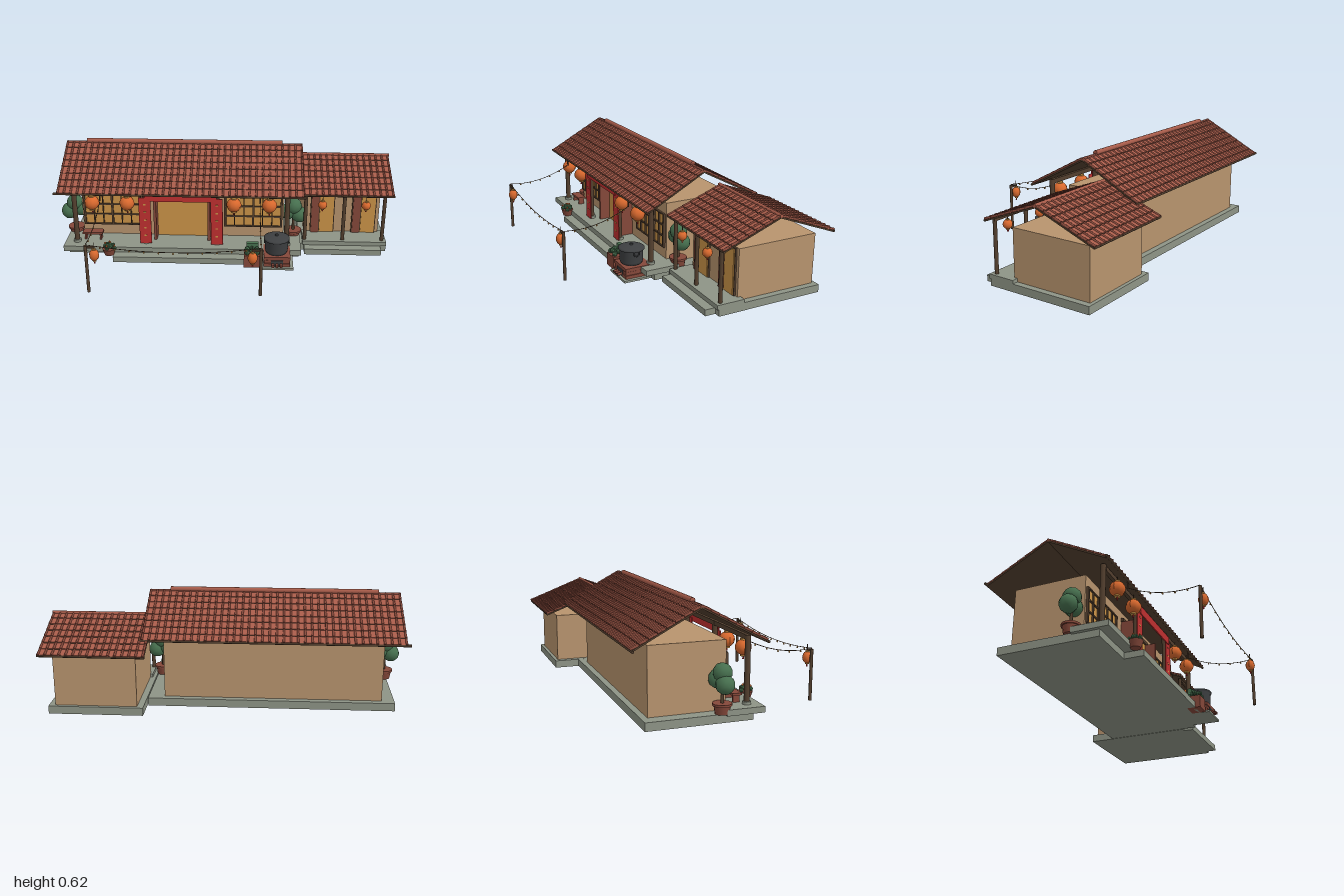
import * as THREE from 'three';
import { mergeGeometries } from 'three/addons/utils/BufferGeometryUtils.js';

const colours = {
  roofTile: 0xa85c4a, brick: 0x85483a, wood: 0x54402f, wall: 0xb8946e, stone: 0x8e9486,
  red: 0xc03030, lantern: 0xd9692e, amber: 0xcc9448, leaf: 0x47704f, iron: 0x3e4042,
};

export function createModel() {
  const root = new THREE.Group();
  const mat = {};
  for (const [name, color] of Object.entries(colours)) {
    mat[name] = new THREE.MeshStandardMaterial({ color });
    mat[name].name = name;
  }

  const add = (name, geo, m, x = 0, y = 0, z = 0, parent = root) => {
    const mesh = new THREE.Mesh(geo, mat[m]);
    mesh.name = name;
    mesh.position.set(x, y, z);
    parent.add(mesh);
    return mesh;
  };
  // Box given by its limits on each axis
  const box = (name, m, x0, x1, y0, y1, z0, z1, parent = root) =>
    add(name, new THREE.BoxGeometry(x1 - x0, y1 - y0, z1 - z0), m,
      (x0 + x1) / 2, (y0 + y1) / 2, (z0 + z1) / 2, parent);
  // Upright cylinder standing on y0
  const post = (name, m, x, z, y0, y1, r, r2 = r, sides = 12, parent = root) =>
    add(name, new THREE.CylinderGeometry(r2, r, y1 - y0, sides), m, x, (y0 + y1) / 2, z, parent);
  // Cylinder lying along x
  const bar = (name, m, x0, x1, y, z, r) => {
    const b = add(name, new THREE.CylinderGeometry(r, r, x1 - x0, 10), m, (x0 + x1) / 2, y, z);
    b.rotation.z = Math.PI / 2;
    return b;
  };

  // Stone bases, porches and steps
  box('mainBase', 'stone', -0.93, 0.44, 0, 0.045, -0.42, 0.15);
  box('mainPorch', 'stone', -0.95, 0.45, 0.038, 0.07, 0, 0.205);
  box('mainStep', 'stone', -0.65, 0.25, 0, 0.035, 0.13, 0.26);
  box('sideBase', 'stone', 0.445, 0.965, 0, 0.044, -0.565, 0.06);
  box('sidePorch', 'stone', 0.465, 0.965, 0.038, 0.063, -0.09, 0.07);
  box('sideStep', 'stone', 0.475, 0.93, 0, 0.035, 0.04, 0.12);

  // Walls
  box('mainWalls', 'wall', -0.86, 0.35, 0.045, 0.405, -0.385, 0.028);
  box('sideWalls', 'wall', 0.48, 0.93, 0.044, 0.33, -0.545, -0.07);

  // Tiled slopes: dark deck, overlapping courses and raised ribs
  function slope(name, x0, x1, ridgeY, ridgeZ, eaveY, eaveZ, courses, ribs) {
    const run = eaveZ - ridgeZ, drop = ridgeY - eaveY;
    const len = Math.hypot(run, drop), width = x1 - x0;
    const g = new THREE.Group();
    g.name = name;
    g.position.set((x0 + x1) / 2, ridgeY, ridgeZ);
    g.rotation.order = 'YXZ';
    g.rotation.set(Math.atan2(drop, Math.abs(run)), run < 0 ? Math.PI : 0, 0);
    box('deck', 'wood', -width / 2, width / 2, -0.012, -0.004, 0, len, g);
    const pans = [], caps = [], step = len / courses;
    for (let c = 0; c < courses; c++) {
      const z = (c + 0.5) * step;
      const pan = new THREE.BoxGeometry(width, 0.004, step * 0.92);
      pan.rotateX(-0.05);
      pans.push(pan.translate(0, 0, z));
      for (let i = 0; i <= ribs; i++) {
        const cap = new THREE.CylinderGeometry(0.0058, 0.0075, step * 0.96, 6);
        // thin end uphill, broad end overlapping the next course
        cap.rotateX(-Math.PI / 2);
        caps.push(cap.translate(-width / 2 + 0.006 + (i / ribs) * (width - 0.012), 0.002, z));
      }
    }
    add('tileCourses', mergeGeometries(pans), 'roofTile', 0, 0, 0, g);
    add('tileRibs', mergeGeometries(caps), 'brick', 0, 0, 0, g);
    root.add(g);
  }
  slope('mainRoofFront', -0.963, 0.455, 0.598, -0.145, 0.41, 0.205, 8, 37);
  slope('mainRoofBack', -0.963, 0.455, 0.598, -0.145, 0.41, -0.5, 8, 37);
  slope('sideRoofFront', 0.42, 0.99, 0.49, -0.27, 0.363, 0.065, 7, 15);
  slope('sideRoofBack', 0.42, 0.99, 0.49, -0.27, 0.355, -0.62, 7, 15);
  bar('mainRidge', 'roofTile', -0.84, 0.335, 0.607, -0.145, 0.014);
  bar('mainRidgeBase', 'brick', -0.963, 0.455, 0.595, -0.145, 0.009);
  bar('sideRidge', 'roofTile', 0.415, 0.993, 0.491, -0.27, 0.01);
  bar('mainEaveFront', 'wood', -0.983, 0.468, 0.406, 0.2, 0.007);
  bar('mainEaveBack', 'wood', -0.983, 0.468, 0.406, -0.495, 0.007);
  bar('sideEaveFront', 'wood', 0.417, 0.993, 0.358, 0.06, 0.006);
  bar('sideEaveBack', 'wood', 0.417, 0.993, 0.352, -0.614, 0.006);

  // Porch posts and beams
  for (const x of [-0.88, -0.465, -0.045, 0.365]) {
    post('porchPost', 'wood', x, 0.135, 0.07, 0.425, 0.015);
    post('postFoot', 'stone', x, 0.135, 0.07, 0.085, 0.023);
  }
  box('porchBeam', 'wood', -0.89, 0.375, 0.4, 0.425, 0.125, 0.145);
  for (const x of [0.478, 0.705, 0.94]) post('sidePost', 'wood', x, 0.04, 0.063, 0.365, 0.011);
  box('sideBeam', 'wood', 0.47, 0.95, 0.345, 0.363, 0.033, 0.047);

  // Red banners on the middle posts, with plain studs
  for (const x of [-0.465, -0.045]) {
    box('banner', 'red', x - 0.035, x + 0.035, 0.075, 0.37, 0.152, 0.158);
    for (let i = 0; i < 5; i++)
      box('bannerStud', 'amber', x - 0.007, x + 0.007, 0.124 + i * 0.05, 0.132 + i * 0.05, 0.158, 0.16);
  }
  box('topBanner', 'red', -0.465, -0.045, 0.35, 0.397, 0.156, 0.164);

  // Main door with open leaves
  box('mainDoor', 'amber', -0.405, -0.105, 0.07, 0.35, 0.028, 0.036);
  box('doorLintel', 'wood', -0.43, -0.08, 0.345, 0.365, 0.028, 0.045);
  for (const x of [-0.415, -0.095])
    box('openLeaf', 'brick', x - 0.008, x + 0.008, 0.07, 0.345, 0.028, 0.1);

  // Lattice windows
  for (const x0 of [-0.845, 0.0]) {
    const x1 = x0 + 0.335, y0 = 0.14, y1 = 0.335;
    box('windowPane', 'amber', x0, x1, y0, y1, 0.028, 0.034);
    for (let i = 0; i <= 6; i++) {
      const x = x0 + (i / 6) * (x1 - x0), w = i % 3 ? 0.003 : 0.006;
      box('windowBar', 'wood', x - w, x + w, y0, y1, 0.03, 0.044);
    }
    for (const y of [y0, 0.205, 0.27, y1])
      box('windowRail', 'wood', x0 - 0.006, x1 + 0.006, y - 0.004, y + 0.004, 0.03, 0.042);
  }

  // Side doors: dark frame, one brown leaf, one lit panel
  for (const x0 of [0.515, 0.765]) {
    box('sideDoorFrame', 'wood', x0, x0 + 0.145, 0.063, 0.325, -0.07, -0.06);
    box('sideDoorLeaf', 'brick', x0 + 0.006, x0 + 0.05, 0.063, 0.318, -0.06, -0.052);
    box('sideDoorPanel', 'amber', x0 + 0.056, x0 + 0.139, 0.066, 0.318, -0.06, -0.054);
  }

  // Lanterns: ribbed globe, caps, hanger and tassel
  function lantern(x, y, z, r, hang = 0.03) {
    const g = new THREE.Group();
    g.name = 'lantern';
    g.position.set(x, y, z);
    const globe = new THREE.SphereGeometry(r, 20, 12);
    const p = globe.attributes.position;
    for (let i = 0; i < p.count; i++) {
      const k = 1 + 0.03 * Math.cos(10 * Math.atan2(p.getZ(i), p.getX(i)));
      p.setXYZ(i, p.getX(i) * k, p.getY(i), p.getZ(i) * k);
    }
    globe.computeVertexNormals();
    add('globe', globe, 'lantern', 0, 0, 0, g);
    post('topCap', 'amber', 0, 0, r * 0.9, r * 1.1, r * 0.4, r * 0.4, 12, g);
    post('bottomCap', 'amber', 0, 0, -r * 1.1, -r * 0.9, r * 0.4, r * 0.4, 12, g);
    post('hanger', 'wood', 0, 0, r, r + hang, 0.002, 0.002, 5, g);
    post('tassel', 'red', 0, 0, -r * 1.5, -r, 0.005, 0.003, 6, g);
    root.add(g);
    return g;
  }
  for (const x of [-0.77, -0.565, 0.055, 0.26]) lantern(x, 0.338, 0.163, 0.042);
  for (const x of [0.575, 0.83]) lantern(x, 0.297, 0.055, 0.026);
  for (const x of [-0.68, 0.168]) lantern(x, 0.23, 0.59, 0.026).scale.y = 1.3;

  // Yard poles and the sagging string of bulbs
  for (const [x, arm] of [[-0.725, 0.05], [0.213, -0.05]]) {
    post('yardPole', 'wood', x, 0.59, 0, 0.285, 0.009);
    box('poleArm', 'wood', Math.min(x, x + arm), Math.max(x, x + arm), 0.27, 0.28, 0.586, 0.594);
  }
  const V = (x, y, z) => new THREE.Vector3(x, y, z);
  function lightString(a, b, sag, bulbs) {
    const mid = a.clone().lerp(b, 0.5);
    mid.y -= sag * 2;
    const curve = new THREE.QuadraticBezierCurve3(a, mid, b);
    add('stringWire', new THREE.TubeGeometry(curve, 24, 0.002, 5), 'wood');
    for (let i = 1; i <= bulbs; i++) {
      const q = curve.getPoint(i / (bulbs + 1));
      add('stringBulb', new THREE.SphereGeometry(0.005, 8, 6), 'amber', q.x, q.y - 0.007, q.z);
    }
  }
  lightString(V(-0.715, 0.37, 0.19), V(-0.725, 0.29, 0.59), 0.035, 5);
  lightString(V(0.205, 0.37, 0.19), V(0.213, 0.29, 0.59), 0.035, 5);
  lightString(V(-0.725, 0.29, 0.59), V(0.213, 0.29, 0.59), 0.038, 11);
  for (const x of [-0.715, 0.205]) post('stringHook', 'wood', x, 0.195, 0.365, 0.41, 0.004);

  // Potted trees at both ends
  const blob = (x, y, z, r) => add('foliage', new THREE.IcosahedronGeometry(r, 1), 'leaf', x, y, z);
  for (const [cx, s] of [[-0.915, 1], [0.41, -1]]) {
    const z = -0.015;
    post('treePot', 'brick', cx, z, 0.045, 0.1, 0.036, 0.045, 14);
    post('treePotRim', 'brick', cx, z, 0.088, 0.1, 0.05, 0.05, 14);
    post('treeTrunk', 'wood', cx, z, 0.09, 0.2, 0.009, 0.007, 8);
    blob(cx - 0.035 * s, 0.2, z, 0.05);
    blob(cx + 0.035 * s, 0.215, z - 0.01, 0.05);
    blob(cx, 0.255, z, 0.05);
  }

  // Small flower pot on the step
  post('flowerPot', 'brick', -0.675, 0.225, 0.035, 0.075, 0.028, 0.04, 14);
  for (let i = 0; i < 9; i++) {
    const a = i * 2.4, r = 0.008 + 0.0035 * i;
    const x = -0.675 + r * Math.cos(a), z = 0.225 + r * Math.sin(a), y = 0.108 - 0.002 * i;
    add('flowerLeaf', new THREE.IcosahedronGeometry(0.014, 0), 'leaf', x, y - 0.01, z);
    if (i % 2 === 0) add('flower', new THREE.SphereGeometry(0.006, 8, 6), 'lantern', x, y + 0.005, z);
  }

  // Bench under the left window
  box('benchSeat', 'brick', -0.85, -0.73, 0.108, 0.12, 0.07, 0.122);
  for (const x of [-0.84, -0.75]) box('benchLeg', 'brick', x, x + 0.01, 0.07, 0.108, 0.078, 0.114);

  // Crate of greens
  box('crate', 'brick', 0.117, 0.21, 0, 0.075, 0.21, 0.292);
  for (let i = 0; i < 9; i++)
    add('greens', new THREE.IcosahedronGeometry(0.017, 0), 'leaf',
      0.136 + (i % 3) * 0.028, 0.088 + (i % 2) * 0.012, 0.226 + Math.floor(i / 3) * 0.025);
  box('greensBundle', 'leaf', 0.13, 0.2, 0.075, 0.128, 0.212, 0.235);

  // Brick stove with slab, firebox and logs
  box('stoveSlab', 'stone', 0.215, 0.403, 0, 0.012, 0.145, 0.315);
  for (let i = 0; i < 3; i++) {
    const y = 0.012 + i * 0.021, d = i % 2 ? 0.003 : 0;
    box('stoveCourse', 'brick', 0.232 + d, 0.385 - d, y, y + 0.019, 0.14 + d, 0.298 - d);
  }
  box('stoveCore', 'wood', 0.238, 0.379, 0.012, 0.07, 0.148, 0.29);
  box('firebox', 'iron', 0.275, 0.342, 0.014, 0.052, 0.294, 0.3);
  for (const x of [0.285, 0.308, 0.332]) {
    const log = post('fireLog', 'brick', x, 0.3, 0, 0.055, 0.008, 0.008, 8);
    log.rotation.x = Math.PI / 2;
    log.position.y = 0.028;
  }

  // Iron cauldron with lid, knob and ring handles
  const profile = [[0, 0.075], [0.06, 0.075], [0.066, 0.09], [0.067, 0.155], [0.074, 0.158],
    [0.074, 0.166], [0.066, 0.17], [0.03, 0.177], [0, 0.179]].map(([r, y]) => new THREE.Vector2(r, y));
  add('cauldron', new THREE.LatheGeometry(profile, 28), 'iron', 0.305, 0, 0.226);
  post('lidKnob', 'iron', 0.305, 0.226, 0.177, 0.187, 0.009);
  for (const s of [-1, 1]) {
    const ring = add('cauldronHandle', new THREE.TorusGeometry(0.016, 0.004, 8, 16), 'iron',
      0.305 + s * 0.069, 0.148, 0.226);
    ring.rotation.y = Math.PI / 2;
  }
  return root;
}
